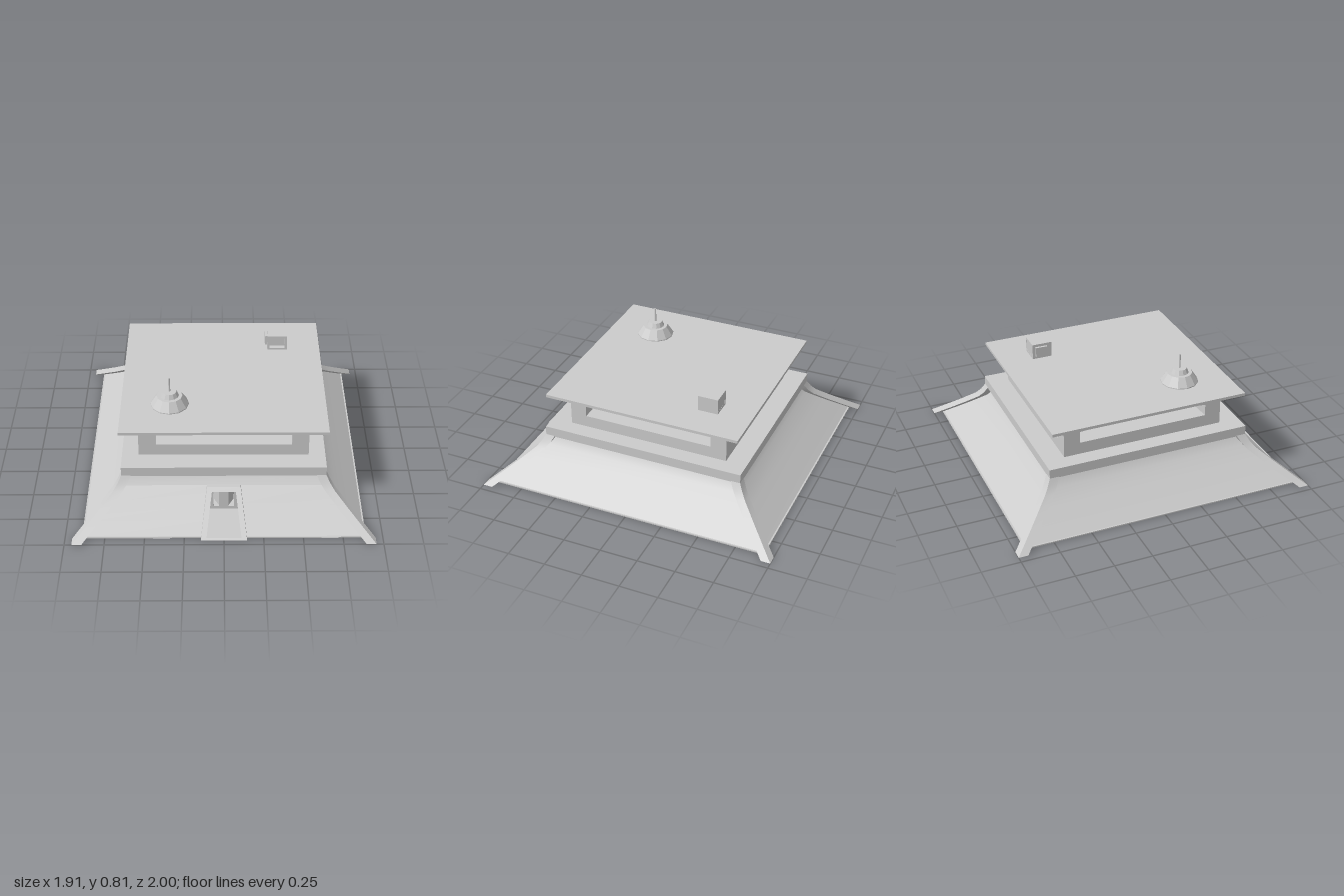
import * as THREE from 'three';
import { toCreasedNormals } from 'three/addons/utils/BufferGeometryUtils.js';

const material = new THREE.MeshStandardMaterial({ color: 0xcccccc, side: THREE.DoubleSide });

// Skin rows of [x, y, z] points; rows run left to right and stack upwards seen from outside
function skin(rows, crease = 0.6) {
  const pos = [];
  for (let i = 0; i < rows.length - 1; i++) {
    for (let j = 0; j < rows[i].length - 1; j++) {
      const a = rows[i][j], b = rows[i][j + 1], c = rows[i + 1][j + 1], d = rows[i + 1][j];
      pos.push(...a, ...b, ...c, ...a, ...c, ...d);
    }
  }
  const geo = new THREE.BufferGeometry();
  geo.setAttribute('position', new THREE.Float32BufferAttribute(pos, 3));
  geo.computeVertexNormals();
  return toCreasedNormals(geo, crease);
}

function add(parent, name, geo, x = 0, y = 0, z = 0) {
  const mesh = new THREE.Mesh(geo, material);
  mesh.name = name;
  mesh.position.set(x, y, z);
  parent.add(mesh);
  return mesh;
}

// Box given by its lower and upper corners
function addBox(parent, name, [x0, y0, z0], [x1, y1, z1]) {
  return add(parent, name, new THREE.BoxGeometry(x1 - x0, y1 - y0, z1 - z0),
    (x0 + x1) / 2, (y0 + y1) / 2, (z0 + z1) / 2);
}

const outline = (points) => points.map(([x, y]) => new THREE.Vector2(x, y));

function panel(outer, holes, depth) {
  const shape = new THREE.Shape(outline(outer));
  for (const h of holes) shape.holes.push(new THREE.Path(outline(h)));
  return new THREE.ExtrudeGeometry(shape, { depth, bevelEnabled: false });
}

const rect = (x0, y0, x1, y1) => [[x0, y0], [x1, y0], [x1, y1], [x0, y1]];

// Flared profile of the base: [height, spread beyond the ledge]
const flare = [[0, 0.305], [0.07, 0.22], [0.14, 0.137], [0.215, 0.053], [0.255, 0.023], [0.3, 0]];
const ridgeWidth = 0.062;
const reach = ([y, d]) => ({ y, x: 0.65 + d, z: 0.68 + d * 1.05 });

function buildBase(root) {
  const base = new THREE.Group();
  base.name = 'base';
  root.add(base);
  const corners = [[-1, 1], [1, 1], [1, -1], [-1, -1]];
  const rows = flare.map(reach).map((r) => ({ y: r.y, x: r.x - ridgeWidth, z: r.z - ridgeWidth }));

  // Sloping sides; the front one leaves a gap for the doorway
  corners.forEach(([ax, az], k) => {
    const [bx, bz] = corners[(k + 1) % 4];
    if (k > 0) {
      add(base, 'slope', skin(rows.map((r) => [[ax * r.x, r.y, az * r.z], [bx * r.x, r.y, bz * r.z]])));
      return;
    }
    const low = rows.filter((r) => r.y < 0.22), high = rows.filter((r) => r.y > 0.2);
    const gap = (r) => 0.128 - 0.14 * r.y;
    add(base, 'frontSlopeRight', skin(low.map((r) => [[-r.x, r.y, r.z], [-gap(r), r.y, r.z]])));
    add(base, 'frontSlopeLeft', skin(low.map((r) => [[gap(r), r.y, r.z], [r.x, r.y, r.z]])));
    add(base, 'frontSlopeTop', skin(high.map((r) => [[-r.x, r.y, r.z], [r.x, r.y, r.z]])));
  });

  // Raised corner ridges with a square section
  for (const [sx, sz] of corners) {
    const loops = flare.map(reach).map(({ y, x, z }) => {
      const xs = [sx * x, sx * (x - ridgeWidth)].sort((a, b) => a - b);
      const zs = [sz * z, sz * (z - ridgeWidth)].sort((a, b) => a - b);
      return [[xs[0], y, zs[1]], [xs[1], y, zs[1]], [xs[1], y, zs[0]], [xs[0], y, zs[0]], [xs[0], y, zs[1]]];
    });
    add(base, 'cornerRidge', skin(loops));
    const [a, b, c, d] = loops[0];
    add(base, 'ridgeFoot', skin([[d, c], [a, b]]));
  }

  addBox(base, 'bottomPlate', [-0.893, 0, -0.938], [0.893, 0.008, 0.938]);
  addBox(base, 'ledge', [-0.65, 0.295, -0.68], [0.65, 0.36, 0.68]);
}

function buildDoorway(root) {
  const door = new THREE.Group();
  door.name = 'doorway';
  root.add(door);

  // Leaning frame that turns inwards into a short passage
  const front = (y) => 0.96 - 1.18 * y;
  const trapezoid = (wide, narrow, y0, y1, depth) =>
    [[-wide, y0], [wide, y0], [narrow, y1], [-narrow, y1], [-wide, y0]].map(([x, y]) => [x, y, depth(y)]);
  add(door, 'doorFrame', skin([
    trapezoid(0.145, 0.107, 0, 0.22, (y) => front(y) - 0.06),
    trapezoid(0.145, 0.107, 0, 0.22, front),
    trapezoid(0.11, 0.076, 0.01, 0.2, front),
    trapezoid(0.11, 0.076, 0.01, 0.2, () => 0.66),
  ], 0.3));

  // Back wall with two tall slots and slanted reveals
  const slots = [-1, 1].map((s) => rect(s * 0.03, 0.03, s * 0.065, 0.19));
  add(door, 'doorWall', panel([[-0.11, 0.01], [0.11, 0.01], [0.076, 0.2], [-0.076, 0.2]], slots, 0.01), 0, 0, 0.65);
  for (const s of [-1, 1]) {
    const row = (y) => [[s * 0.03, y, 0.65], [s * 0.065, y, 0.58]];
    add(door, 'slotReveal', skin([row(0.03), row(0.19)]));
  }
}

function buildUpperStorey(root) {
  const storey = new THREE.Group();
  storey.name = 'upperStorey';
  root.add(storey);
  const half = 0.543, thick = 0.05;
  // Each window has a gently peaked top edge
  const windowHole = [[-0.435, 0.44], [0.435, 0.44], [0.435, 0.518], [0, 0.55], [-0.435, 0.518]];
  for (let k = 0; k < 4; k++) {
    const w = k % 2 ? half - thick : half;
    const side = new THREE.Group();
    side.name = 'windowWall';
    side.rotation.y = k * Math.PI / 2;
    storey.add(side);
    add(side, 'wall', panel(rect(-w, 0.36, w, 0.597), [windowHole], thick), 0, 0, half - thick);
  }
  addBox(storey, 'roof', [-0.658, 0.597, -0.658], [0.658, 0.616, 0.658]);
}

function buildRoofFittings(root) {
  // Stepped, faceted turret with a thin mast
  const turret = new THREE.Group();
  turret.name = 'turret';
  turret.position.set(-0.345, 0.616, 0.34);
  root.add(turret);
  const profile = outline([[0.123, 0], [0.123, 0.006], [0.083, 0.066], [0.06, 0.066], [0.046, 0.097], [0, 0.097]]);
  const body = new THREE.LatheGeometry(profile, 12);
  add(turret, 'turretBody', toCreasedNormals(body, 0.2));
  add(turret, 'mast', new THREE.CylinderGeometry(0.006, 0.006, 0.1, 8), 0, 0.145, 0);

  // Vent housing with a recessed front and a small side cover
  const vent = new THREE.Group();
  vent.name = 'ventHousing';
  root.add(vent);
  add(vent, 'ventShell', panel(rect(0.302, 0.616, 0.435, 0.72), [rect(0.317, 0.631, 0.42, 0.707)], 0.134), 0, 0, -0.439);
  addBox(vent, 'ventBack', [0.315, 0.629, -0.438], [0.422, 0.709, -0.335]);
  addBox(vent, 'sideCover', [0.286, 0.635, -0.42], [0.304, 0.702, -0.34]);
}

export function createModel() {
  const root = new THREE.Group();
  root.name = 'building';
  buildBase(root);
  buildDoorway(root);
  buildUpperStorey(root);
  buildRoofFittings(root);
  return root;
}
